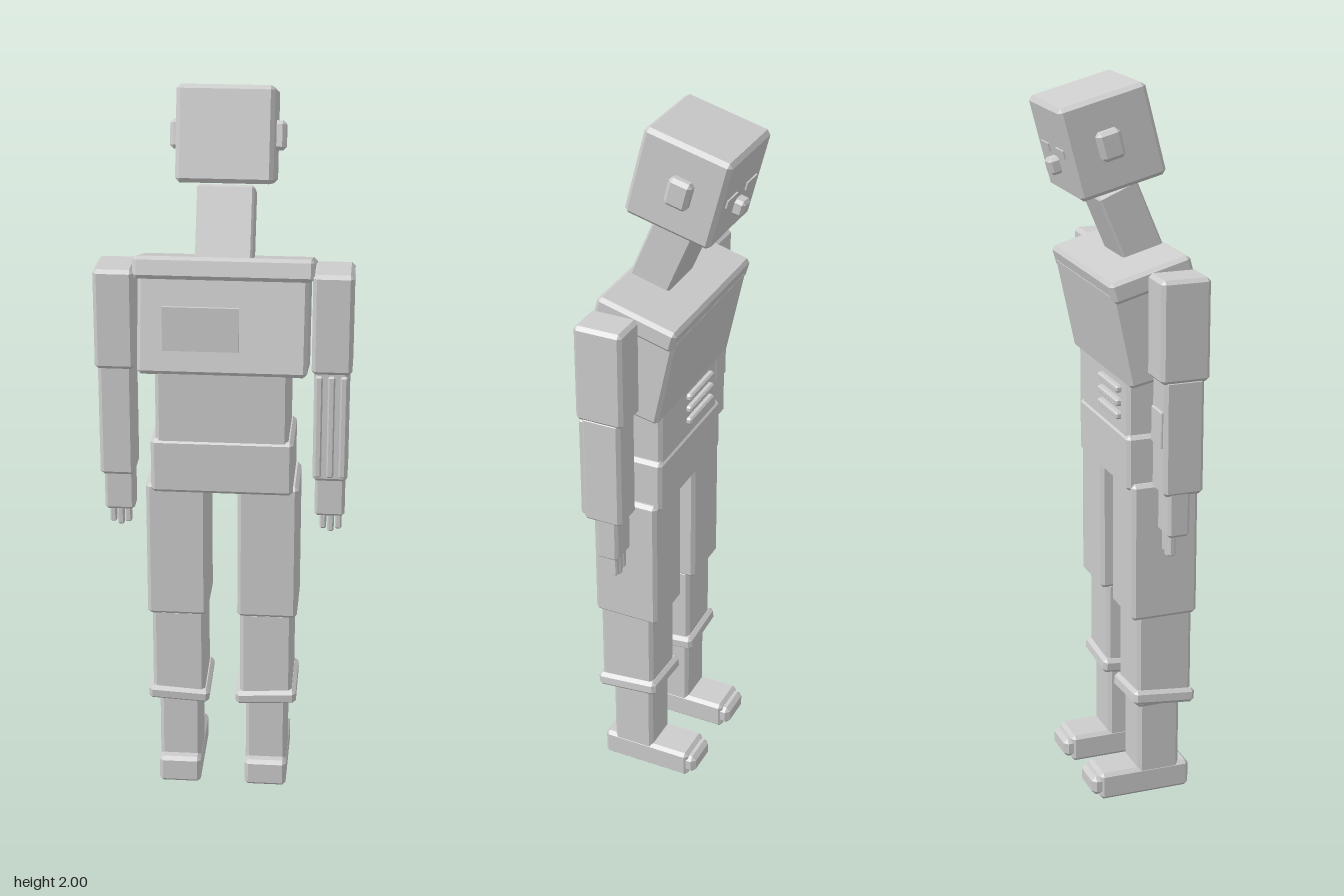
import * as THREE from 'three';
import { ConvexGeometry } from 'three/addons/geometries/ConvexGeometry.js';

const grey = new THREE.MeshStandardMaterial({ color: 0xcccccc });
grey.name = 'plain grey';

// Box with a flat bevel on every edge
function bevelBox(w, h, d, b) {
  const points = [];
  for (const x of [-1, 1]) for (const y of [-1, 1]) for (const z of [-1, 1]) {
    points.push(
      new THREE.Vector3(x * w / 2, y * (h / 2 - b), z * (d / 2 - b)),
      new THREE.Vector3(x * (w / 2 - b), y * h / 2, z * (d / 2 - b)),
      new THREE.Vector3(x * (w / 2 - b), y * (h / 2 - b), z * d / 2));
  }
  return new ConvexGeometry(points);
}

function block(parent, name, size, pos, bevel = 0.01, rx = 0, rz = 0) {
  const geo = bevel > 0 ? bevelBox(...size, bevel) : new THREE.BoxGeometry(...size);
  const mesh = new THREE.Mesh(geo, grey);
  mesh.name = name;
  mesh.position.set(...pos);
  mesh.rotation.set(rx, 0, rz);
  parent.add(mesh);
  return mesh;
}

function group(parent, name) {
  const g = new THREE.Group();
  g.name = name;
  parent.add(g);
  return g;
}

function buildHead(model) {
  const head = group(model, 'head');
  head.position.set(0, 1.85, -0.05);
  head.rotation.x = -0.255;
  block(head, 'skull', [0.253, 0.25, 0.245], [0, 0, 0], 0.011);
  for (const s of [-1, 1]) {
    block(head, 'ear', [0.05, 0.078, 0.065], [s * 0.127, 0, -0.012], 0.01);
    block(head, 'eye', [0.06, 0.022, 0.008], [s * 0.06, 0.0, -0.123], 0);
  }
  block(head, 'nose', [0.045, 0.045, 0.05], [0, -0.04, -0.126], 0.008);
}

function buildTorso(model) {
  const torso = group(model, 'torso');
  block(torso, 'neck', [0.15, 0.2, 0.115], [0, 1.625, 0.02], 0.006, -0.4);
  block(torso, 'collar', [0.476, 0.06, 0.23], [0, 1.508, 0.017], 0.01, -0.27);
  block(torso, 'chest', [0.448, 0.27, 0.222], [0, 1.37, 0.042], 0.01, -0.21);
  block(torso, 'chestPlate', [0.2, 0.12, 0.008], [-0.053, 1.395, 0.193], 0);
  block(torso, 'belly', [0.355, 0.24, 0.2], [0, 1.16, 0.07]);
  block(torso, 'hips', [0.382, 0.155, 0.21], [0, 0.997, 0.07]);
  // Vent slats on the belly
  for (let i = 0; i < 3; i++) {
    block(torso, 'ventSlat', [0.15, 0.02, 0.03], [-0.055, 1.19 - i * 0.037, -0.03], 0.005);
  }
}

function buildArm(model, s) {
  const arm = group(model, s > 0 ? 'leftArm' : 'rightArm');
  arm.position.x = s * 0.288;
  block(arm, 'upperArm', [0.107, 0.275, 0.136], [0, 1.393, 0.07]);
  block(arm, 'forearm', [0.094, 0.32, 0.112], [0, 1.105, 0.07]);
  block(arm, 'hand', [0.082, 0.13, 0.062], [0, 0.892, 0.06], 0.008);
  for (let i = -1; i <= 1; i++) {
    block(arm, 'finger', [0.018, 0.07, 0.018], [s * 0.003 + i * 0.021, 0.808 - (i === 0 ? 0.008 : 0), 0.045], 0.004);
  }
  if (s > 0) {
    // Ribs along the forearm
    for (let i = -1; i <= 1; i++) {
      block(arm, 'forearmRib', [0.019, 0.29, 0.02], [i * 0.033, 1.105, 0.124], 0.004);
    }
  } else {
    block(arm, 'forearmPanel', [0.07, 0.1, 0.012], [0, 1.13, 0.013], 0.003);
  }
}

function buildLeg(model, s) {
  const leg = group(model, s > 0 ? 'leftLeg' : 'rightLeg');
  leg.position.x = s * 0.122;
  block(leg, 'thigh', [0.165, 0.395, 0.19], [s * 0.002, 0.743, 0.07]);
  block(leg, 'shin', [0.146, 0.28, 0.16], [0, 0.415, 0.075]);
  block(leg, 'cuff', [0.17, 0.042, 0.182], [0, 0.298, 0.072], 0.01, 0.1, s * 0.06);
  block(leg, 'ankle', [0.116, 0.24, 0.122], [0, 0.17, 0.066]);
  block(leg, 'foot', [0.118, 0.08, 0.265], [0, 0.04, 0.025]);
  block(leg, 'toeCap', [0.108, 0.055, 0.06], [0, 0.042, -0.1], 0.012);
}

export function createModel() {
  const model = new THREE.Group();
  model.name = 'blockFigure';
  buildHead(model);
  buildTorso(model);
  for (const s of [-1, 1]) {
    buildArm(model, s);
    buildLeg(model, s);
  }
  return model;
}
